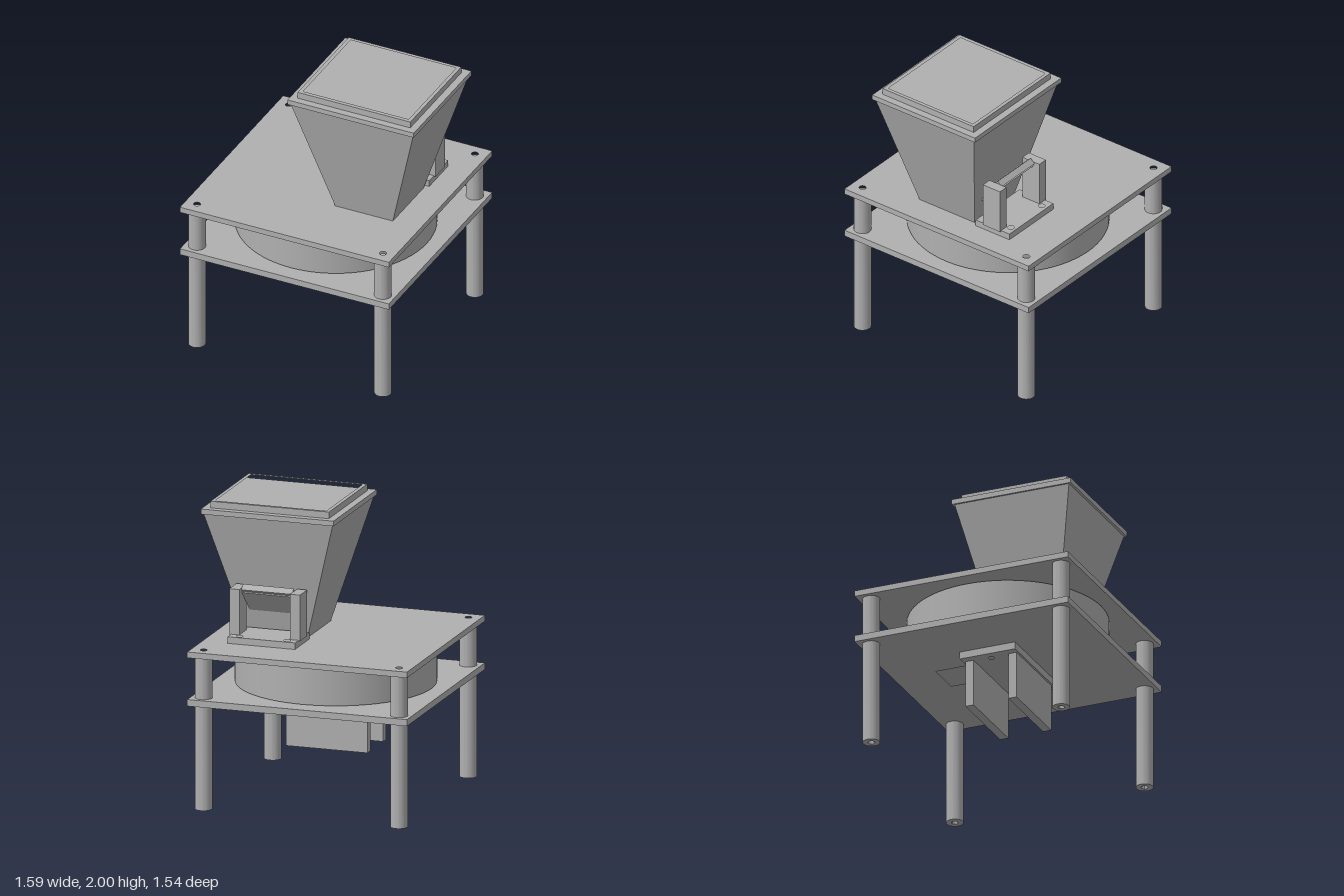
import * as THREE from 'three';
import { toCreasedNormals } from 'three/addons/utils/BufferGeometryUtils.js';

export function createModel() {
  const model = new THREE.Group();
  const metal = new THREE.MeshStandardMaterial({ color: 0xb0b0b0 });
  metal.name = 'plain grey';

  function add(name, geometry, parent = model) {
    const mesh = new THREE.Mesh(geometry, metal);
    mesh.name = name;
    parent.add(mesh);
    return mesh;
  }

  // Box given by its bounds
  function block(name, x0, x1, y0, y1, z0, z1, parent) {
    const mesh = add(name, new THREE.BoxGeometry(x1 - x0, y1 - y0, z1 - z0), parent);
    mesh.position.set((x0 + x1) / 2, (y0 + y1) / 2, (z0 + z1) / 2);
    return mesh;
  }

  function rectangle(path, x0, x1, z0, z1) {
    return path.moveTo(x0, -z0).lineTo(x1, -z0).lineTo(x1, -z1).lineTo(x0, -z1).closePath();
  }
  const rectHole = (...b) => rectangle(new THREE.Path(), ...b);
  const roundHole = (x, z, r) => new THREE.Path().absarc(x, -z, r, 0, Math.PI * 2, true);

  // Upright extrusion of a shape drawn in plan
  function extrude(name, shape, holes, y0, y1, parent) {
    shape.holes.push(...holes);
    const flat = new THREE.ExtrudeGeometry(shape, { depth: y1 - y0, bevelEnabled: false, curveSegments: 24 });
    const mesh = add(name, toCreasedNormals(flat.rotateX(-Math.PI / 2), 0.6), parent);
    mesh.position.y = y0;
    return mesh;
  }
  const slab = (name, x0, x1, y0, y1, z0, z1, holes, parent) =>
    extrude(name, rectangle(new THREE.Shape(), x0, x1, z0, z1), holes, y0, y1, parent);

  const cx = -0.03; // centre of the table
  const corners = [];
  for (const sx of [-1, 1]) for (const sz of [-1, 1]) corners.push([cx + sx * 0.685, sz * 0.685]);
  const boltHoles = () => corners.map(([x, z]) => roundHole(x, z, 0.023));

  // Table plates, the lower one with an outlet
  slab('topPlate', -0.8, 0.74, 1.045, 1.085, -0.77, 0.77, boltHoles());
  slab('lowerPlate', -0.8, 0.74, 0.715, 0.76, -0.77, 0.77,
    [...boltHoles(), rectHole(-0.155, 0.095, -0.465, -0.225)]);

  // Hollow legs and spacers
  for (const [x, z] of corners) {
    for (const [name, y0, y1] of [['leg', 0, 0.715], ['spacer', 0.76, 1.045]]) {
      const ring = new THREE.Shape().absarc(0, 0, 0.058, 0, Math.PI * 2);
      const tube = extrude(name, ring, [roundHole(0, 0, 0.023)], y0, y1);
      tube.position.x = x;
      tube.position.z = z;
    }
  }

  // Drum between the plates
  add('drum', new THREE.CylinderGeometry(0.67, 0.67, 0.265, 72)).position.set(cx, 0.9025, 0);

  // Motor bracket under the table
  const bracket = new THREE.Group();
  bracket.name = 'motorBracket';
  model.add(bracket);
  slab('bracketPlate', -0.37, 0.31, 0.665, 0.715, -0.2, 0.2,
    [-0.3, 0.24].map((x) => roundHole(x, 0, 0.02)), bracket);
  block('bracketCheek', -0.315, 0.255, 0.34, 0.665, 0.128, 0.187, bracket);
  block('bracketCheek', -0.315, 0.255, 0.34, 0.665, -0.182, -0.123, bracket);

  // Tapered hopper
  const hopper = new THREE.Group();
  hopper.name = 'hopper';
  model.add(hopper);
  const taper = new THREE.BoxGeometry(1, 0.835, 1);
  const p = taper.attributes.position;
  for (let i = 0; i < p.count; i++) {
    const top = p.getY(i) > 0;
    p.setX(i, 0.325 + p.getX(i) * (top ? 0.905 : 0.425));
    p.setZ(i, 0.07 + p.getZ(i) * (top ? 0.825 : 0.46));
  }
  taper.computeVertexNormals();
  add('hopperBody', taper, hopper).position.y = 1.5025;
  block('hopperFlange', -0.14, 0.79, 1.92, 1.955, -0.36, 0.5, hopper);
  slab('hopperRim', -0.09, 0.74, 1.955, 2, -0.31, 0.45, [rectHole(-0.063, 0.715, -0.285, 0.423)], hopper);

  // Scraper stand behind the hopper
  const stand = new THREE.Group();
  stand.name = 'scraperStand';
  model.add(stand);
  slab('standBase', 0.09, 0.563, 1.085, 1.13, -0.472, -0.19,
    [0.16, 0.493].map((x) => roundHole(x, -0.43, 0.022)), stand);
  block('standPost', 0.08, 0.15, 1.125, 1.44, -0.402, -0.26, stand);
  block('standPost', 0.505, 0.575, 1.125, 1.44, -0.402, -0.26, stand);

  // Tilted bar and blade between the posts
  const bar = add('scraperBar', new THREE.BoxGeometry(0.355, 0.045, 0.106), stand);
  bar.position.set(0.3275, 1.407, -0.308);
  const blade = add('scraperBlade', new THREE.BoxGeometry(0.355, 0.014, 0.22), stand);
  blade.position.set(0.3275, 1.335, -0.27);
  bar.rotation.x = blade.rotation.x = Math.PI / 4;

  return model;
}
